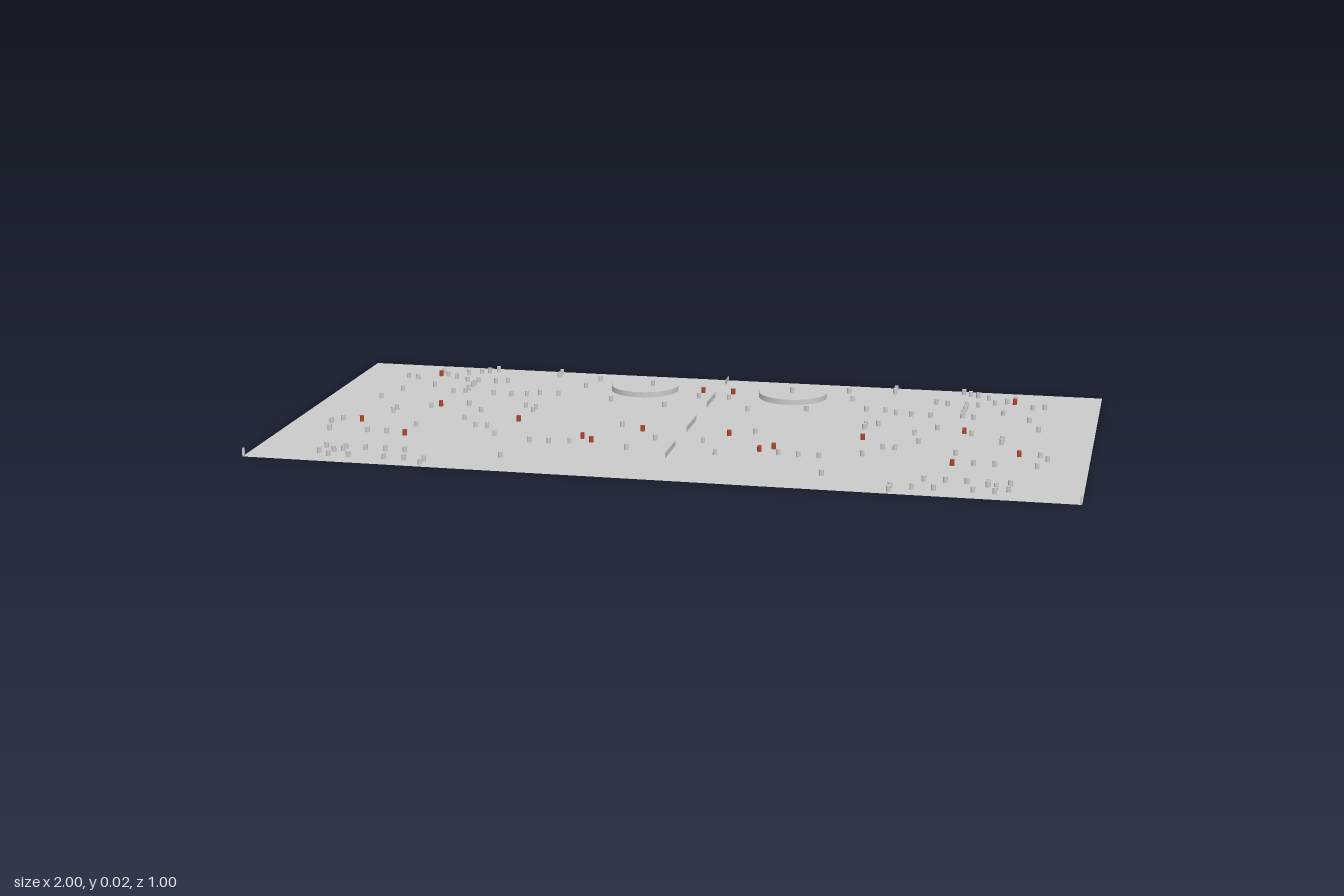
import * as THREE from 'three';

// Peg rows: [z, ...x] in hundredths, each mirrored left and right
const backPegs = [
  [-47, 46, 64], [-45, 66], [-44, 46, 68], [-42, 34, 71, 78], [-40, 19], [-39, 76],
  [-37, 73], [-35, 58, 86], [-34, 36, 61, 66, 69, 83], [-31, 66], [-29, 4, 66],
  [-27, 76], [-25, 66], [-24, 41, 46], [-22, 49, 66], [-21, 26, 53, 58, 69, 83], [-18, 11],
];
const middlePegs = [
  [-12, 86], [-10, 46], [-9, 43, 61], [-6, 43], [-5, 70], [-3, 56], [-1, 78], [2, 78],
  [4, 17], [5, 58], [12, 50, 53, 88], [14, 68], [15, 6, 90], [19, 46],
  [22, 26, 73, 78, 88], [23, 31, 36], [25, 11],
];
const frontPegs = [
  [38, 39, 63, 68, 73, 78, 83], [40, 78], [41, 80], [43, 83], [45, 56, 61, 66, 75, 80], [48, 56],
];
const redPegs = [[-39, 78], [-35, 4], [-7, 68], [4, 44], [7, 11], [12, 83], [17, 24], [20, 21], [23, 68]];

export function createModel() {
  const model = new THREE.Group();
  const grey = new THREE.MeshStandardMaterial({ color: 0xcccccc });
  const sheet = new THREE.MeshStandardMaterial({ color: 0xcccccc, side: THREE.DoubleSide });
  const red = new THREE.MeshStandardMaterial({ color: 0xb0482c });

  const add = (name, geometry, material, x, y, z, parent = model) => {
    const mesh = new THREE.Mesh(geometry, material);
    mesh.name = name;
    mesh.position.set(x, y, z);
    parent.add(mesh);
    return mesh;
  };

  // Flat ground sheet
  add('groundSheet', new THREE.PlaneGeometry(2, 1).rotateX(-Math.PI / 2), sheet, 0, 0, 0);

  // Small pegs scattered symmetrically over the sheet
  const pegHeight = 0.0145;
  const pegShape = new THREE.CylinderGeometry(0.0055, 0.0055, pegHeight, 12);
  const addPegs = (name, rows, material) => {
    const group = new THREE.Group();
    group.name = name;
    for (const [z, ...xs] of rows)
      for (const x of xs)
        for (const side of [-1, 1])
          add('peg', pegShape, material, side * x / 100, pegHeight / 2, z / 100, group);
    model.add(group);
  };
  addPegs('backPegs', backPegs, grey);
  addPegs('middlePegs', middlePegs, grey);
  addPegs('frontPegs', frontPegs, grey);
  addPegs('redPegs', redPegs, red);

  // Half-round walls, open to the back
  const wallHeight = 0.014;
  const arc = new THREE.CylinderGeometry(0.09, 0.09, wallHeight, 32, 1, true, -Math.PI / 2, Math.PI);
  for (const side of [-1, 1]) add('curvedWall', arc, sheet, side * 0.2, wallHeight / 2, -0.355);

  // Dashed wall down the centre line
  for (const [front, back] of [[0.31, 0.19], [0.06, -0.06], [-0.19, -0.31], [-0.44, -0.5]]) {
    const panel = new THREE.PlaneGeometry(front - back, wallHeight).rotateY(Math.PI / 2);
    add('centreWall', panel, sheet, 0, wallHeight / 2, (front + back) / 2);
  }

  // Posts on the front corners
  const post = new THREE.BoxGeometry(0.005, 0.021, 0.005);
  for (const side of [-1, 1]) add('cornerPost', post, grey, side * 0.9975, 0.0105, 0.4975);

  return model;
}
